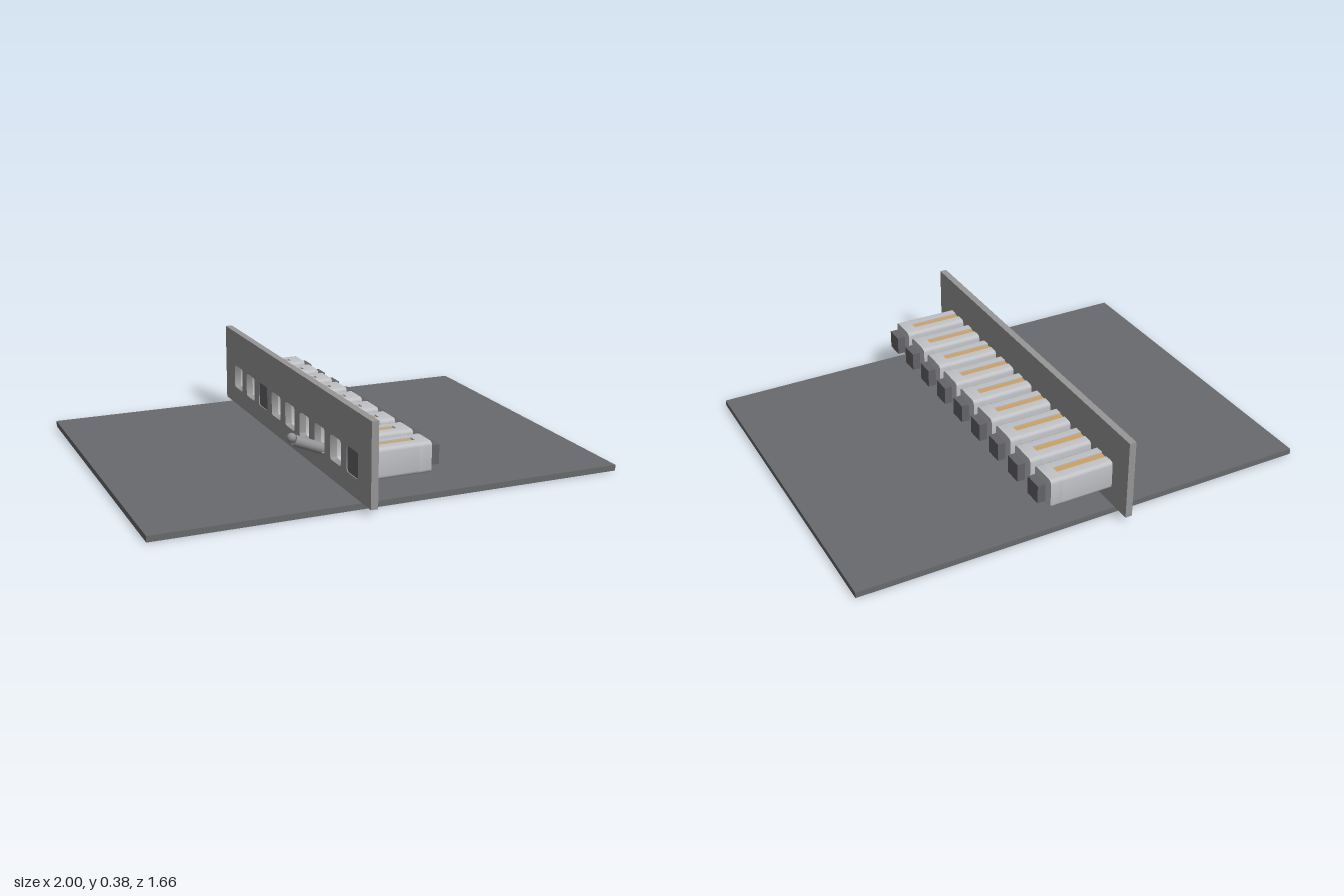
import * as THREE from 'three';
import { toCreasedNormals } from 'three/addons/utils/BufferGeometryUtils.js';

const mat = (name, color) => {
  const m = new THREE.MeshStandardMaterial({ color });
  m.name = name;
  return m;
};

export function createModel() {
  const baseGrey = mat('base grey', 0x696a6d);
  const panelGrey = mat('panel grey', 0x979798);
  const shell = mat('shell silver', 0xc0c2c6);
  const dark = mat('dark cap grey', 0x656569);
  const gold = mat('contact gold', 0xd0a163);
  const metal = mat('lever metal', 0x929294);

  const model = new THREE.Group();
  model.name = 'portPanel';
  const add = (parent, name, geo, material, x = 0, y = 0, z = 0) => {
    const m = new THREE.Mesh(geo, material);
    m.name = name;
    m.position.set(x, y, z);
    parent.add(m);
    return m;
  };
  const box = (w, h, d) => new THREE.BoxGeometry(w, h, d);

  // Extrude a z-y profile along +x
  const extrudeX = (shape, depth) => {
    const g = new THREE.ExtrudeGeometry(shape, { depth, bevelEnabled: false });
    return toCreasedNormals(g.rotateY(Math.PI / 2), 0.6);
  };
  // Rounded square outline, clockwise from top right to top left
  const outline = (h, r, cx = 0, cy = 0) => {
    const pts = [];
    [[1, 1, 90], [1, -1, 0], [-1, -1, -90], [-1, 1, -180]].forEach(([sx, sy, a0]) => {
      for (let i = 0; i <= 4; i++) {
        const a = THREE.MathUtils.degToRad(a0 - i * 22.5);
        pts.push(new THREE.Vector2(cx + sx * (h - r) + r * Math.cos(a), cy + sy * (h - r) + r * Math.sin(a)));
      }
    });
    return pts;
  };

  const PORT_Y = 0.16, HALF = 0.064, INNER = 0.054, SLOT = 0.017;
  const portZ = Array.from({ length: 9 }, (_, i) => (i - 4) * 0.164);

  // Base plate
  add(model, 'basePlate', box(2, 0.025, 1.5), baseGrey, 0, 0.0125, 0);

  // Upright panel with a window for each port
  const panel = new THREE.Shape([
    new THREE.Vector2(-0.83, 0.025), new THREE.Vector2(0.83, 0.025),
    new THREE.Vector2(0.83, 0.375), new THREE.Vector2(-0.83, 0.375)]);
  portZ.forEach(z => panel.holes.push(new THREE.Path(outline(INNER, 0.014, z, PORT_Y))));
  add(model, 'uprightPanel', extrudeX(panel, 0.03), panelGrey, -0.15);

  // Port shell: slotted front part, closed rear part and end wall
  const outer = outline(HALF, 0.016), inner = outline(INNER, 0.012);
  const v = (x, y) => new THREE.Vector2(x, y);
  const slotted = new THREE.Shape([
    v(SLOT, HALF), ...outer, v(-SLOT, HALF),
    v(-SLOT, INNER), ...inner.slice().reverse(), v(SLOT, INNER)]);
  const ring = new THREE.Shape(outer);
  ring.holes.push(new THREE.Path(inner));
  const slottedGeo = extrudeX(slotted, 0.227);
  const ringGeo = extrudeX(ring, 0.043);
  const endGeo = extrudeX(new THREE.Shape(outer), 0.01);

  portZ.forEach((z, i) => {
    const port = new THREE.Group();
    port.name = 'port' + (i + 1);
    port.position.set(0, PORT_Y, z);
    model.add(port);
    add(port, 'slottedShell', slottedGeo, shell, -0.12);
    add(port, 'rearShell', ringGeo, shell, 0.107);
    add(port, 'endWall', endGeo, shell, 0.15);
    add(port, 'contactStrip', box(0.224, 0.008, 0.03), gold, -0.007, HALF - 0.009, 0);
    // Rear connector
    const stem = add(port, 'connectorStem', new THREE.CylinderGeometry(0.015, 0.015, 0.014, 16), metal, 0.165);
    stem.rotation.z = Math.PI / 2;
    add(port, 'connectorCap', box(0.035, 0.08, 0.08), dark, 0.1875);
    // Blanking plates on two ports
    if (i === 2 || i === 8) {
      add(port, 'blankingPlate', extrudeX(new THREE.Shape(inner), 0.008), dark, -0.146);
    }
  });

  // Lever with ball tip
  const lever = new THREE.Group();
  lever.name = 'lever';
  model.add(lever);
  const a = new THREE.Vector3(-0.262, 0.165, 0.328), b = new THREE.Vector3(-0.114, 0.104, 0.328);
  const dir = a.clone().sub(b);
  const rod = add(lever, 'leverRod', new THREE.CylinderGeometry(0.024, 0.024, dir.length(), 24), metal);
  rod.position.copy(a).add(b).multiplyScalar(0.5);
  rod.quaternion.setFromUnitVectors(new THREE.Vector3(0, 1, 0), dir.normalize());
  add(lever, 'leverBall', new THREE.SphereGeometry(0.02, 20, 14), metal, -0.272, 0.177, 0.328);

  return model;
}
